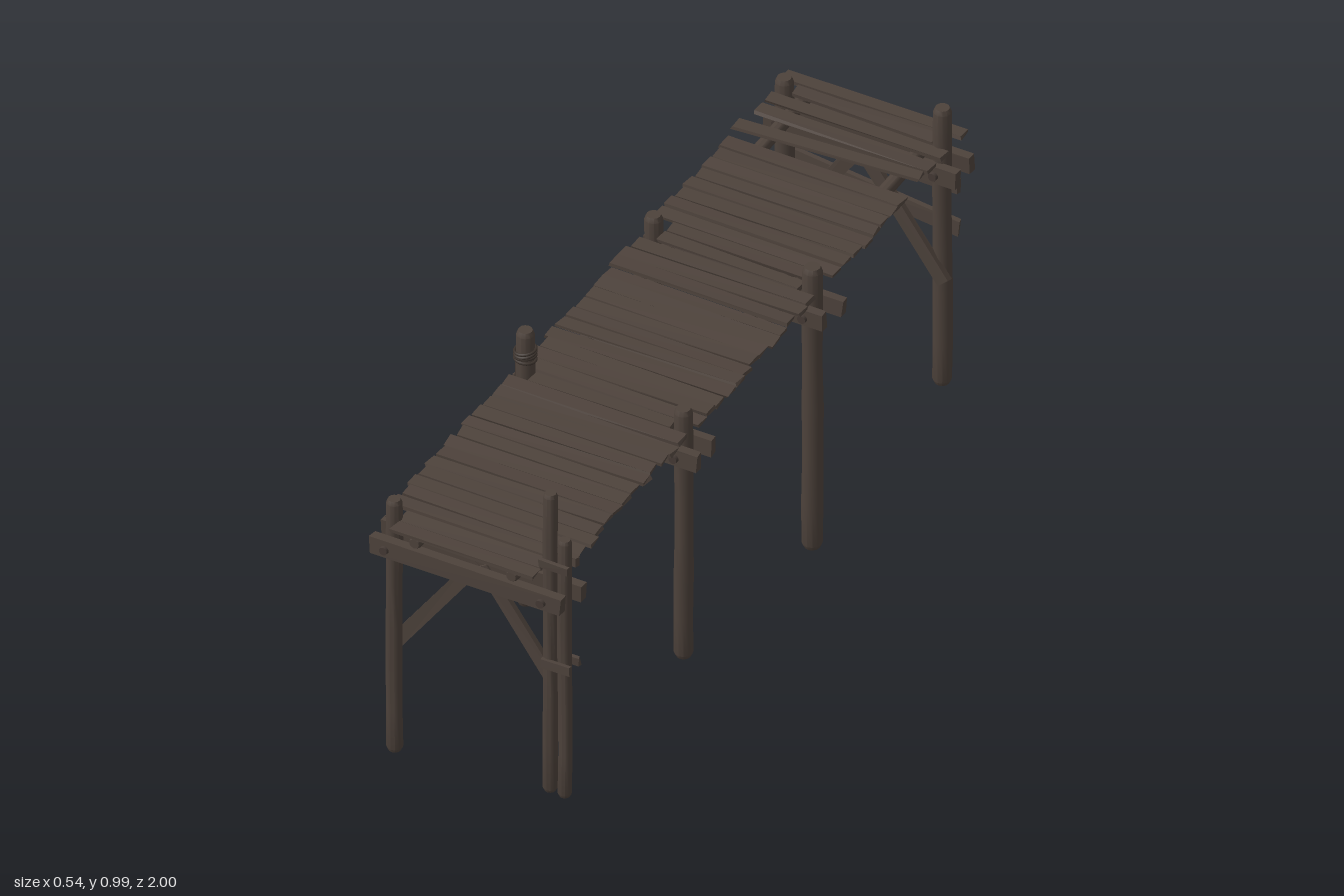
import * as THREE from 'three';
import { toCreasedNormals } from 'three/addons/utils/BufferGeometryUtils.js';

export function createModel() {
  const model = new THREE.Group();
  model.name = 'pier';
  const wood = new THREE.MeshStandardMaterial({ color: 0x4d423b });
  wood.name = 'weathered wood';
  const ropeMat = new THREE.MeshStandardMaterial({ color: 0x3c332d });
  ropeMat.name = 'dark rope';
  const iron = new THREE.MeshStandardMaterial({ color: 0x443a35 });
  iron.name = 'dull iron';

  let seed = 11;
  const rand = () => (seed = (seed * 16807) % 2147483647) / 2147483647;
  const jit = (a) => (rand() * 2 - 1) * a;

  const add = (name, geo, mat, parent = model) => {
    const m = new THREE.Mesh(geo, mat);
    m.name = name;
    parent.add(m);
    return m;
  };

  // Rough board: a box with its corners nudged
  const board = (name, w, h, d, x, y, z, parent = model, rough = 0.003) => {
    const g = new THREE.BoxGeometry(w, h, d).toNonIndexed();
    const p = g.attributes.position;
    const nudges = Array.from({ length: 8 }, () => [jit(rough), jit(rough * 0.3), jit(rough * 0.6)]);
    for (let i = 0; i < p.count; i++) {
      const n = nudges[(p.getX(i) > 0) * 4 + (p.getY(i) > 0) * 2 + (p.getZ(i) > 0)];
      p.setXYZ(i, p.getX(i) + n[0], p.getY(i) + n[1], p.getZ(i) + n[2]);
    }
    g.computeVertexNormals();
    const m = add(name, g, wood, parent);
    m.position.set(x, y, z);
    return m;
  };

  // Board running between two points in the xy plane
  const slanted = (name, x0, y0, x1, y1, h, d, z, parent) => {
    const m = board(name, Math.hypot(x1 - x0, y1 - y0), h, d, (x0 + x1) / 2, (y0 + y1) / 2, z, parent);
    m.rotation.z = Math.atan2(y1 - y0, x1 - x0);
    return m;
  };

  // Round log with worn, bevelled ends and a slight wobble
  const logGeometry = (r, length) => {
    const pts = [[0, 0], [r * 0.75, 0], [r, r * 0.5]];
    for (let i = 1; i < 6; i++) pts.push([r * (1 + jit(0.05)), (length * i) / 6]);
    pts.push([r * 0.97, length - r * 0.5], [r * 0.75, length], [0, length]);
    const g = new THREE.LatheGeometry(pts.map(([a, b]) => new THREE.Vector2(a, b)), 12);
    const p = g.attributes.position;
    const ph = rand() * 6;
    for (let i = 0; i < p.count; i++) {
      const t = p.getY(i) * 9 + ph;
      p.setX(i, p.getX(i) + Math.sin(t) * 0.0018);
      p.setZ(i, p.getZ(i) + Math.cos(t * 0.8) * 0.0018);
    }
    return toCreasedNormals(g, 0.6);
  };

  // Posts: x, z, bottom, top, radius
  const posts = new THREE.Group();
  posts.name = 'posts';
  model.add(posts);
  [
    [-0.215, 0.945, 0.085, 0.82, 0.02], [0.202, 0.945, 0.12, 0.99, 0.018], [0.24, 0.945, 0.12, 0.87, 0.017],
    [-0.22, 0.31, 0.09, 0.89, 0.023], [0.203, 0.31, 0.09, 0.815, 0.023],
    [-0.22, -0.305, 0.1, 0.815, 0.023], [0.203, -0.305, 0, 0.82, 0.025],
    [-0.22, -0.93, 0.1, 0.8, 0.023], [0.203, -0.925, 0.07, 0.875, 0.023],
  ].forEach(([x, z, y0, y1, r]) => {
    add('post', logGeometry(r, y1 - y0), wood, posts).position.set(x, y0, z);
  });

  // Paired crossbeams clamped to each row of posts, with bolts
  [0.945, 0.31, -0.305, -0.93].forEach((z) => {
    const bent = new THREE.Group();
    bent.name = 'crossbeamPair';
    model.add(bent);
    for (const s of [-1, 1]) {
      board('crossbeam', 0.52 + jit(0.015), 0.046, 0.024, jit(0.006), 0.702, z + s * 0.035, bent);
      for (const x of [-0.215, 0.203]) {
        const bolt = add('bolt', new THREE.CylinderGeometry(0.011, 0.012, 0.01, 10), iron, bent);
        bolt.rotation.x = (s * Math.PI) / 2;
        bolt.position.set(x, 0.7, z + s * 0.05);
      }
    }
  });

  // Diagonal braces on the inner side of the end rows
  for (const z of [0.918, -0.9]) {
    for (const s of [-1, 1]) slanted('brace', s * 0.222, 0.385, s * 0.005, 0.69, 0.036, 0.014, z);
  }

  // Boards nailed across the back row
  slanted('backRail', -0.255, 0.63, 0.23, 0.63, 0.038, 0.014, -0.957);
  slanted('backRail', -0.245, 0.562, 0.23, 0.508, 0.042, 0.014, -0.957);

  // Cleats joining the doubled corner post
  for (const [y, x] of [[0.795, 0.222], [0.505, 0.228]]) {
    for (const s of [-1, 1]) board('cleat', 0.078, 0.023, 0.01, x, y, 0.945 + s * 0.022);
  }

  // Stringer logs under the deck, overlapping in the middle
  [[-0.175, -0.98, 0.36], [0.157, -0.98, 0.36], [-0.14, -0.36, 0.985], [0.12, -0.36, 0.985]].forEach(([x, z0, z1]) => {
    const m = add('stringer', logGeometry(0.017, z1 - z0), wood);
    m.rotation.x = Math.PI / 2;
    m.position.set(x, 0.742, z0);
  });

  // Deck planks, cut short where the posts stand
  const deck = new THREE.Group();
  deck.name = 'deck';
  model.add(deck);
  const postRows = [0.945, 0.31, -0.305, -0.93];
  const plank = (z, width) => {
    const atPost = postRows.some((r) => Math.abs(r - z) < 0.022 + width * 0.3);
    const x0 = atPost ? -0.197 : -0.245 + jit(0.008);
    const x1 = atPost ? 0.18 : 0.23 + jit(0.008);
    const m = board('plank', x1 - x0, 0.009, width, (x0 + x1) / 2, 0.763 + jit(0.002), z, deck, 0.004);
    m.rotation.set(jit(0.05), jit(0.009), jit(0.006));
    return m;
  };
  [[-0.98, 0.034], [-0.937, 0.038], [-0.888, 0.034], [-0.838, 0.038]].forEach(([z, w]) => plank(z, w));
  const loose = plank(-0.775, 0.036);
  loose.rotation.y = 0.07;
  loose.position.x -= 0.015;
  const count = 39;
  const pitch = 1.705 / count;
  for (let i = 0; i < count; i++) plank(-0.709 + (i + 0.5) * pitch, pitch * (0.89 + jit(0.07)));

  // Rope coils round one post
  for (let i = 0; i < 4; i++) {
    const ring = add('ropeCoil', new THREE.TorusGeometry(0.0255, 0.0038, 6, 20), ropeMat);
    ring.position.set(-0.22, 0.806 + i * 0.0085, 0.31);
    ring.rotation.set(Math.PI / 2 + jit(0.15), jit(0.15), 0);
  }

  // Rope hanging between two posts
  const sag = new THREE.CatmullRomCurve3([
    [0.935, 0.755], [0.9, 0.715], [0.83, 0.63], [0.74, 0.567], [0.64, 0.535], [0.54, 0.532],
    [0.44, 0.566], [0.37, 0.622], [0.32, 0.7], [0.31, 0.8],
  ].map(([z, y]) => new THREE.Vector3(-0.243, y, z)));
  add('hangingRope', new THREE.TubeGeometry(sag, 48, 0.0038, 6), ropeMat);

  return model;
}
